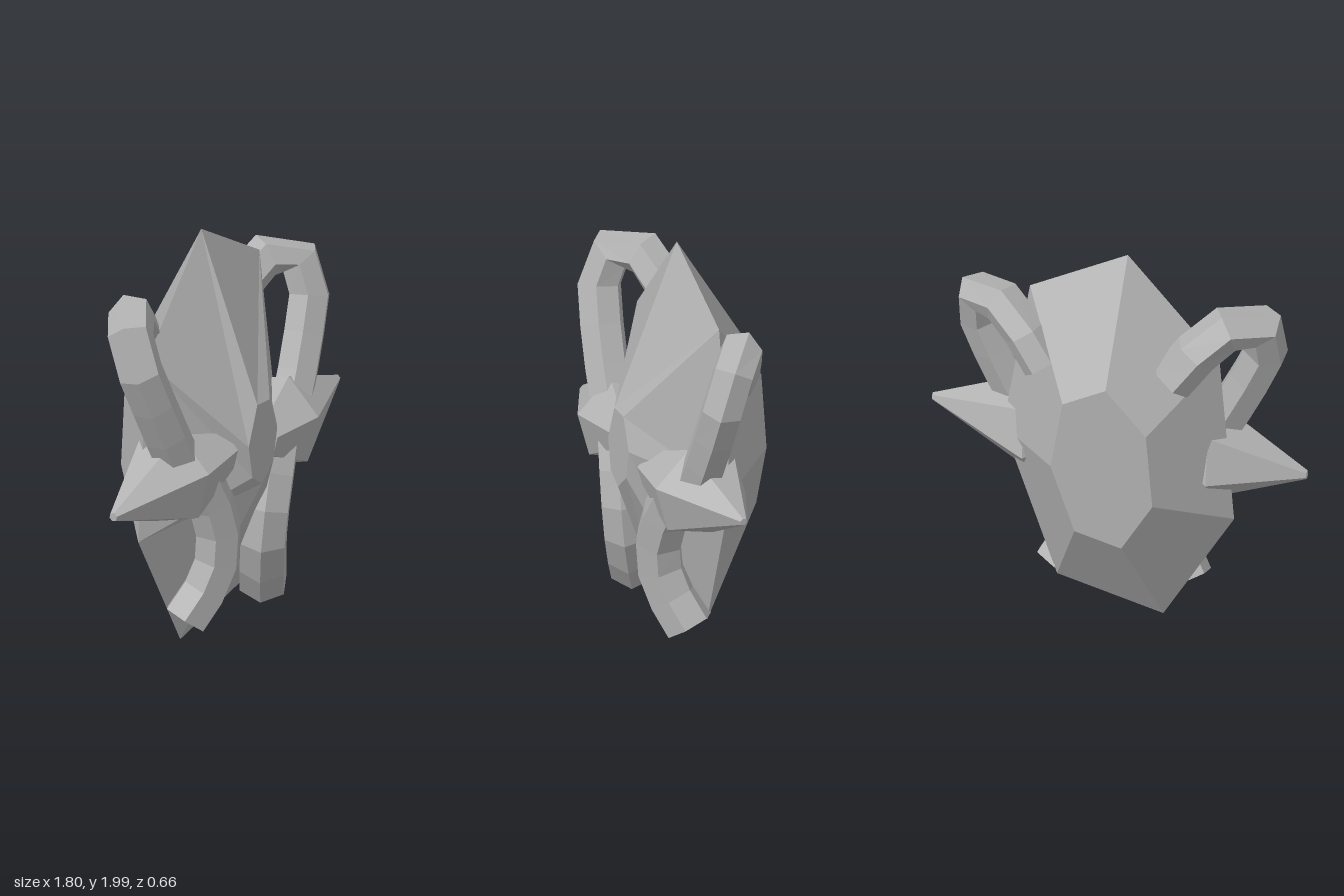
import * as THREE from 'three';

const stone = new THREE.MeshStandardMaterial({ color: 0xb2b2b2 });
stone.name = 'grey stone';

// Faceted skin over rings of points, closed at both ends
function loft(name, rings) {
  const pos = [];
  const tri = (...pts) => pts.forEach((p) => pos.push(p.x, p.y, p.z));
  const n = rings[0].length;
  for (let k = 0; k < rings.length - 1; k++) {
    const a = rings[k], b = rings[k + 1];
    for (let i = 0; i < n; i++) {
      const j = (i + 1) % n;
      tri(a[i], a[j], b[j]);
      tri(a[i], b[j], b[i]);
    }
  }
  const first = rings[0], last = rings[rings.length - 1];
  for (let i = 1; i < n - 1; i++) {
    tri(first[0], first[i + 1], first[i]);
    tri(last[0], last[i], last[i + 1]);
  }
  const geo = new THREE.BufferGeometry();
  geo.setAttribute('position', new THREE.Float32BufferAttribute(pos, 3));
  geo.computeVertexNormals();
  const mesh = new THREE.Mesh(geo, stone);
  mesh.name = name;
  return mesh;
}

// Six-sided limb along a smooth path
function limb(name, path, radius, segments) {
  const curve = new THREE.CatmullRomCurve3(path.map((p) => new THREE.Vector3(...p)));
  const { normals, binormals } = curve.computeFrenetFrames(segments);
  const rings = normals.map((nrm, k) => {
    const c = curve.getPointAt(k / segments);
    return Array.from({ length: 6 }, (_, i) => {
      const t = (i * Math.PI) / 3;
      return c.clone()
        .addScaledVector(nrm, radius * Math.cos(t))
        .addScaledVector(binormals[k], radius * Math.sin(t));
    });
  });
  return loft(name, rings);
}

// Six-sided crystal pointing sideways; stations are [x, y, z, radius]
function spike(name, side, stations) {
  return loft(name, stations.map(([x, y, z, r]) =>
    Array.from({ length: 6 }, (_, i) => {
      const t = side * (0.26 + (i * Math.PI) / 3) + (side < 0 ? 0.52 : 0);
      return new THREE.Vector3(x, y + r * Math.cos(t), z + r * Math.sin(t));
    })));
}

export function createModel() {
  const model = new THREE.Group();
  model.name = 'crystalFigure';

  // Body: irregular seven-sided gem with a wide back facet and a small front one
  const girdle = [[-0.06, 2], [-0.5, 1.47], [-0.57, 0.59], [-0.23, 0.01], [0.28, 0.16], [0.54, 0.95], [0.41, 1.76]];
  const front = [[-0.06, 1.19], [-0.13, 1.0], [-0.1, 0.84], [-0.02, 0.79], [0.07, 0.88], [0.1, 1.03], [0.04, 1.19]];
  const at = (pts, z) => pts.map(([x, y]) => new THREE.Vector3(x, y, z));
  const back = girdle.map(([x, y]) => [x * 0.44, 1 + (y - 1) * 0.44]);
  model.add(loft('body', [at(back, -0.325), at(girdle, 0), at(front, 0.322)]));

  // Side crystals
  model.add(spike('leftSpike', 1, [[0.14, 0.94, 0.2, 0.1], [0.42, 0.93, 0.1, 0.24], [0.9, 1.0, 0.1, 0.018]]));
  model.add(spike('rightSpike', -1, [[-0.18, 0.97, 0.2, 0.1], [-0.46, 0.9, 0.1, 0.235], [-0.9, 0.83, 0.09, 0.022]]));

  // Looping arms from the spikes up and round to the back
  model.add(limb('leftArm', [[0.46, 0.98, 0.14], [0.59, 1.27, 0.12], [0.68, 1.55, 0.09],
    [0.64, 1.69, 0.02], [0.5, 1.67, -0.07], [0.31, 1.42, -0.14]], 0.105, 7));
  model.add(limb('rightArm', [[-0.45, 0.98, 0.15], [-0.6, 1.27, 0.13], [-0.71, 1.55, 0.09],
    [-0.67, 1.69, 0.02], [-0.52, 1.68, -0.07], [-0.3, 1.42, -0.14]], 0.11, 7));

  // Bowed legs
  model.add(limb('leftLeg', [[0.3, 0.87, 0.17], [0.21, 0.68, 0.2], [0.17, 0.5, 0.2],
    [0.2, 0.34, 0.17], [0.3, 0.16, 0.1]], 0.12, 5));
  model.add(limb('rightLeg', [[-0.32, 0.88, 0.17], [-0.23, 0.68, 0.2], [-0.2, 0.5, 0.2],
    [-0.23, 0.34, 0.17], [-0.33, 0.16, 0.1]], 0.115, 5));

  return model;
}
